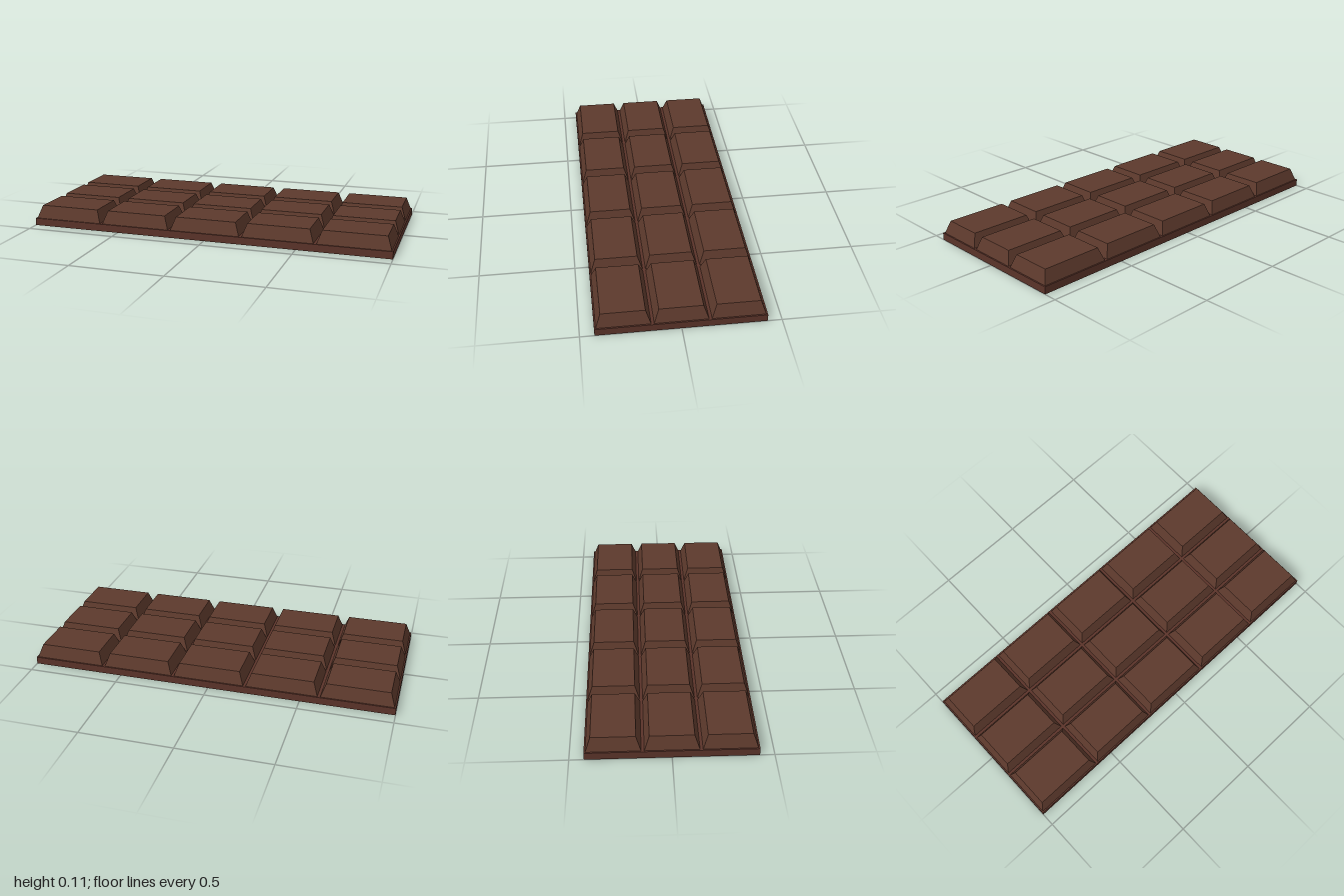
import * as THREE from 'three';

// Box whose top face is narrower than its bottom, standing on y = 0
function taperedBox(width, height, depth, inset) {
  const geometry = new THREE.BoxGeometry(width, height, depth);
  geometry.translate(0, height / 2, 0);
  const p = geometry.attributes.position;
  for (let i = 0; i < p.count; i++) {
    if (p.getY(i) > height / 2) {
      p.setX(i, p.getX(i) - Math.sign(p.getX(i)) * inset);
      p.setZ(i, p.getZ(i) - Math.sign(p.getZ(i)) * inset);
    }
  }
  geometry.computeVertexNormals();
  return geometry;
}

export function createModel() {
  const bar = new THREE.Group();
  bar.name = 'chocolateBar';

  const columns = 5, rows = 3;
  const pitchX = 0.4, pitchZ = 0.285;
  const baseHeight = 0.04, pieceHeight = 0.07, gap = 0.015;

  const baseMaterial = new THREE.MeshStandardMaterial({ color: 0x5a3329, flatShading: true });
  const pieceMaterial = new THREE.MeshStandardMaterial({ color: 0x5c392c, flatShading: true });

  // Flat slab under all the pieces
  const base = new THREE.Mesh(
    new THREE.BoxGeometry(columns * pitchX, baseHeight, rows * pitchZ), baseMaterial);
  base.name = 'base';
  base.position.y = baseHeight / 2;
  bar.add(base);

  // Grid of bevelled pieces with grooves between them
  const pieces = new THREE.Group();
  pieces.name = 'pieces';
  const geometry = taperedBox(pitchX - gap, pieceHeight, pitchZ - gap, 0.025);
  for (let row = 0; row < rows; row++) {
    for (let column = 0; column < columns; column++) {
      const piece = new THREE.Mesh(geometry, pieceMaterial);
      piece.name = `piece ${row + 1}-${column + 1}`;
      piece.position.set(
        (column - (columns - 1) / 2) * pitchX,
        baseHeight,
        (row - (rows - 1) / 2) * pitchZ);
      pieces.add(piece);
    }
  }
  bar.add(pieces);

  return bar;
}
